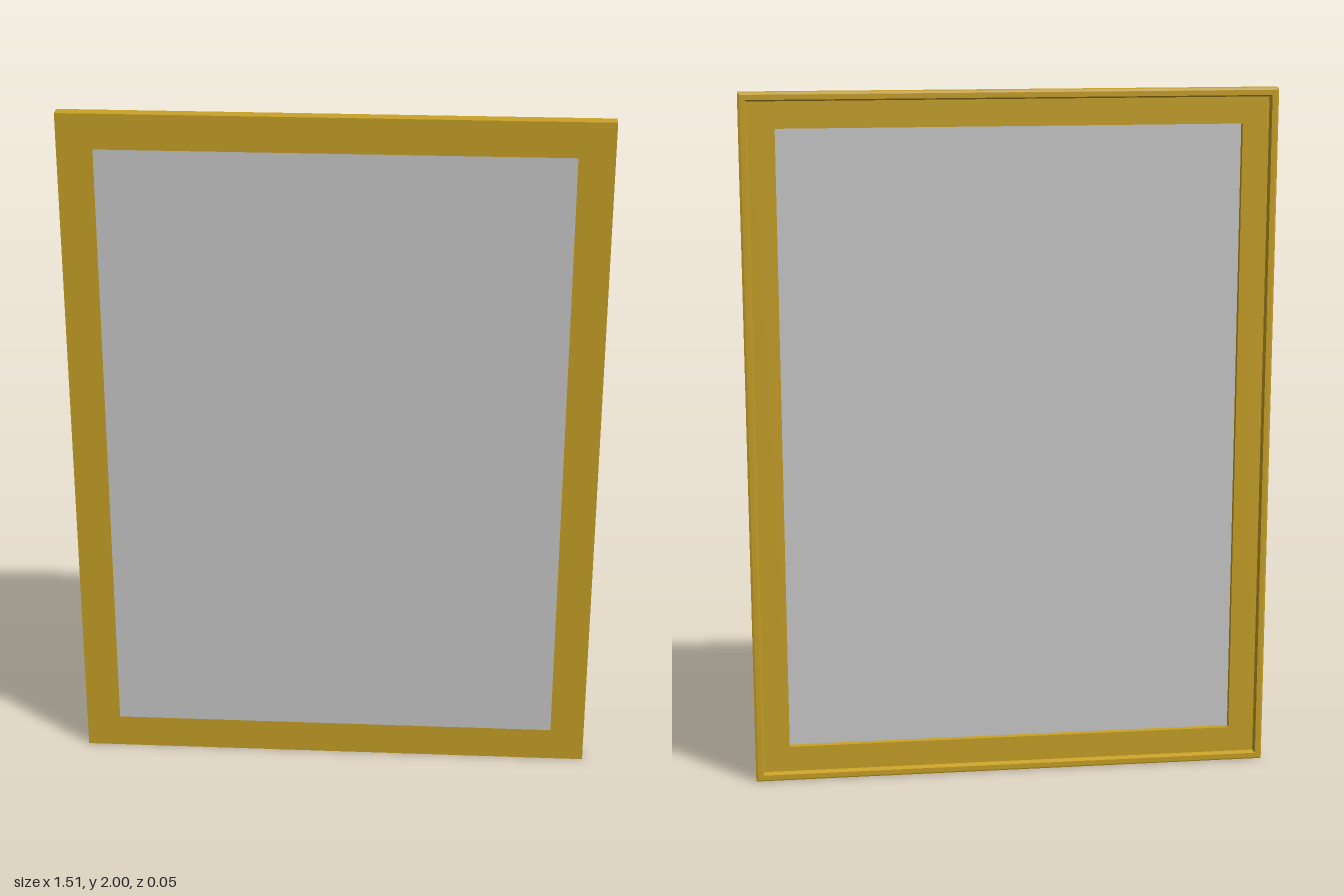
import * as THREE from 'three';

const HALF_W = 0.755, HEIGHT = 2, BORDER = 0.1, FRONT = 0.023;

// Sweeps a closed (inset, z) profile round a rectangle with mitred corners.
function mitredFrame(profile) {
  const ring = ([i, z]) => [
    [-HALF_W + i, i, z], [HALF_W - i, i, z],
    [HALF_W - i, HEIGHT - i, z], [-HALF_W + i, HEIGHT - i, z],
  ];
  const pos = [];
  profile.forEach((p, k) => {
    const a = ring(p), b = ring(profile[(k + 1) % profile.length]);
    for (let s = 0; s < 4; s++) {
      const t = (s + 1) % 4;
      pos.push(...b[s], ...b[t], ...a[t], ...b[s], ...a[t], ...a[s]);
    }
  });
  const geo = new THREE.BufferGeometry();
  geo.setAttribute('position', new THREE.Float32BufferAttribute(pos, 3));
  geo.computeVertexNormals();
  return geo;
}

export function createModel() {
  const model = new THREE.Group();
  model.name = 'framedPanel';

  // Gilt frame: flat front, stepped raised rim and lower band on the back
  const frame = new THREE.Mesh(
    mitredFrame([
      [BORDER, FRONT], [0, FRONT], [0, -0.016],
      [0.006, -0.018], [0.006, -0.023], [0.02, -0.023],
      [0.025, -0.008], [BORDER, -0.008],
    ]),
    new THREE.MeshStandardMaterial({ color: 0xc9a227 })
  );
  frame.name = 'frame';
  model.add(frame);

  // Panel flush with the front, recessed from behind
  const depth = 0.012;
  const panel = new THREE.Mesh(
    new THREE.BoxGeometry(2 * (HALF_W - BORDER), HEIGHT - 2 * BORDER, depth),
    new THREE.MeshStandardMaterial({ color: 0xcccccc })
  );
  panel.name = 'panel';
  panel.position.set(0, HEIGHT / 2, FRONT - depth / 2);
  model.add(panel);

  return model;
}
